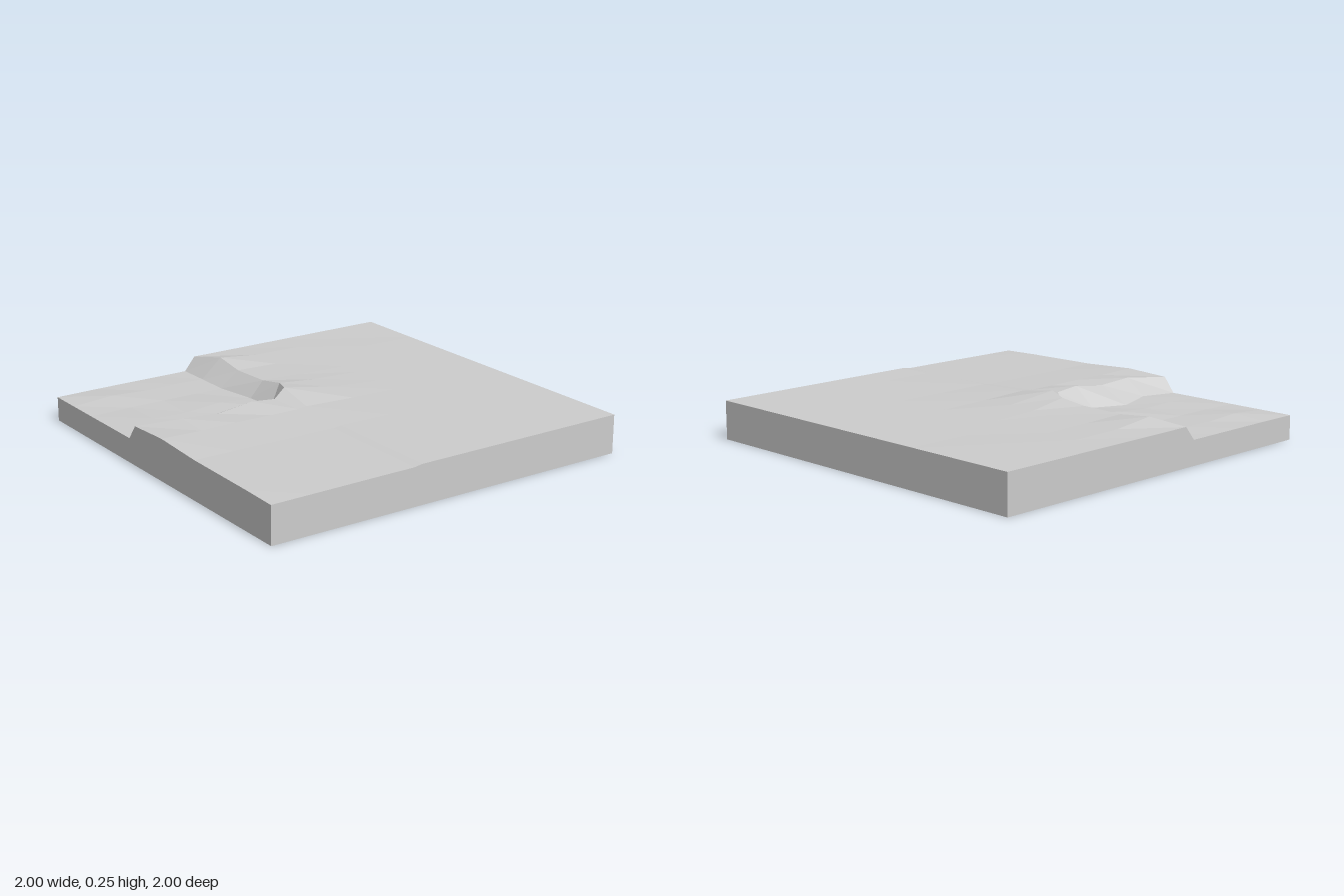
import * as THREE from 'three';

// Nominal grid lines of the terrain surface
const XS = [-1, -0.82, -0.63, -0.4, -0.28, -0.1, 0.07, 0.37, 0.8, 1];
const ZS = [-1, -0.66, -0.37, -0.1, 0.13, 0.24, 0.39, 0.585, 0.78, 1];
const N = XS.length;
const FOOT = 4, TOP = 5; // columns at the foot and top of the side bank, rows 4 and 5 of the main cliff

// Bends of the cliff lines away from the nominal grid
const crestZ = [0.18, 0.125, 0.135, 0.13, 0.12, 0.165, 0.18, 0.185, 0.185, 0.185];
const footZ = [0.24, 0.24, 0.24, 0.205, 0.205, 0.255, 0.23, 0.225, 0.23, 0.23];
const bankFootX = [-0.28, -0.28, -0.28, -0.28, -0.26, -0.21, -0.215, -0.27, -0.22, -0.24];
const bankTopX = [-0.1, -0.1, -0.1, -0.12, -0.15, -0.1, -0.1, -0.1, -0.105, -0.18];

// Heights in hundredths, one row per z line from back to front
const HEIGHTS = [
  [20, 20, 20, 20, 20, 20, 20, 20, 20, 20],
  [20, 20, 20.2, 20, 20, 20, 20, 20, 20, 20],
  [20, 20.3, 20, 20, 20, 20, 20, 20, 20, 20],
  [20, 20.6, 20.4, 20.6, 21, 21.3, 20.6, 20, 20, 20],
  [20, 23, 21, 21.5, 23.6, 25, 21.5, 20.2, 20, 20],
  [12.8, 13, 13, 13.2, 14, 22, 21, 19.7, 19.6, 19.3],
  [12.8, 13.4, 13, 14.5, 13.6, 23.3, 21, 19.8, 19.6, 19.3],
  [12.8, 13.2, 13, 13, 12.9, 20.8, 21.2, 19.9, 19.6, 19.2],
  [12.8, 14.2, 13, 13.6, 13.8, 22, 21, 19.9, 19.5, 19.1],
  [12.6, 12.6, 12.6, 12.6, 12.6, 20.4, 21.5, 20, 19.5, 19],
];

function point(col, row) {
  const x = col === FOOT ? bankFootX[row] : col === TOP ? bankTopX[row] : XS[col];
  const z = row === 4 ? crestZ[col] : row === 5 ? footZ[col] : ZS[row];
  return [x, HEIGHTS[row][col] / 100, z];
}

function facetedMesh(name, corners, material) {
  const geometry = new THREE.BufferGeometry();
  geometry.setAttribute('position', new THREE.Float32BufferAttribute(corners.flat(), 3));
  geometry.computeVertexNormals();
  const mesh = new THREE.Mesh(geometry, material);
  mesh.name = name;
  return mesh;
}

export function createModel() {
  const group = new THREE.Group();
  group.name = 'terrainTile';
  const material = new THREE.MeshStandardMaterial({ color: 0xcccccc, flatShading: true });

  // Ground surface with the raised plateau, cliff and sunken corner
  const ground = [];
  for (let r = 0; r < N - 1; r++) {
    for (let c = 0; c < N - 1; c++) {
      const a = point(c, r), b = point(c + 1, r), d = point(c, r + 1), e = point(c + 1, r + 1);
      ground.push(a, d, b, b, d, e);
    }
  }
  group.add(facetedMesh('groundSurface', ground, material));

  // Side walls following the rim: front, right, back, left
  const rim = [];
  const last = N - 1;
  for (let i = 0; i < last; i++) rim.push(point(i, last));
  for (let i = last; i > 0; i--) rim.push(point(last, i));
  for (let i = last; i > 0; i--) rim.push(point(i, 0));
  for (let i = 0; i < last; i++) rim.push(point(0, i));
  const walls = [];
  rim.forEach((p, i) => {
    const q = rim[(i + 1) % rim.length];
    const p0 = [p[0], 0, p[2]], q0 = [q[0], 0, q[2]];
    walls.push(p0, q0, q, p0, q, p);
  });
  group.add(facetedMesh('sideWalls', walls, material));

  // Flat underside
  const underside = new THREE.Mesh(new THREE.PlaneGeometry(2, 2).rotateX(Math.PI / 2), material);
  underside.name = 'underside';
  group.add(underside);

  return group;
}
